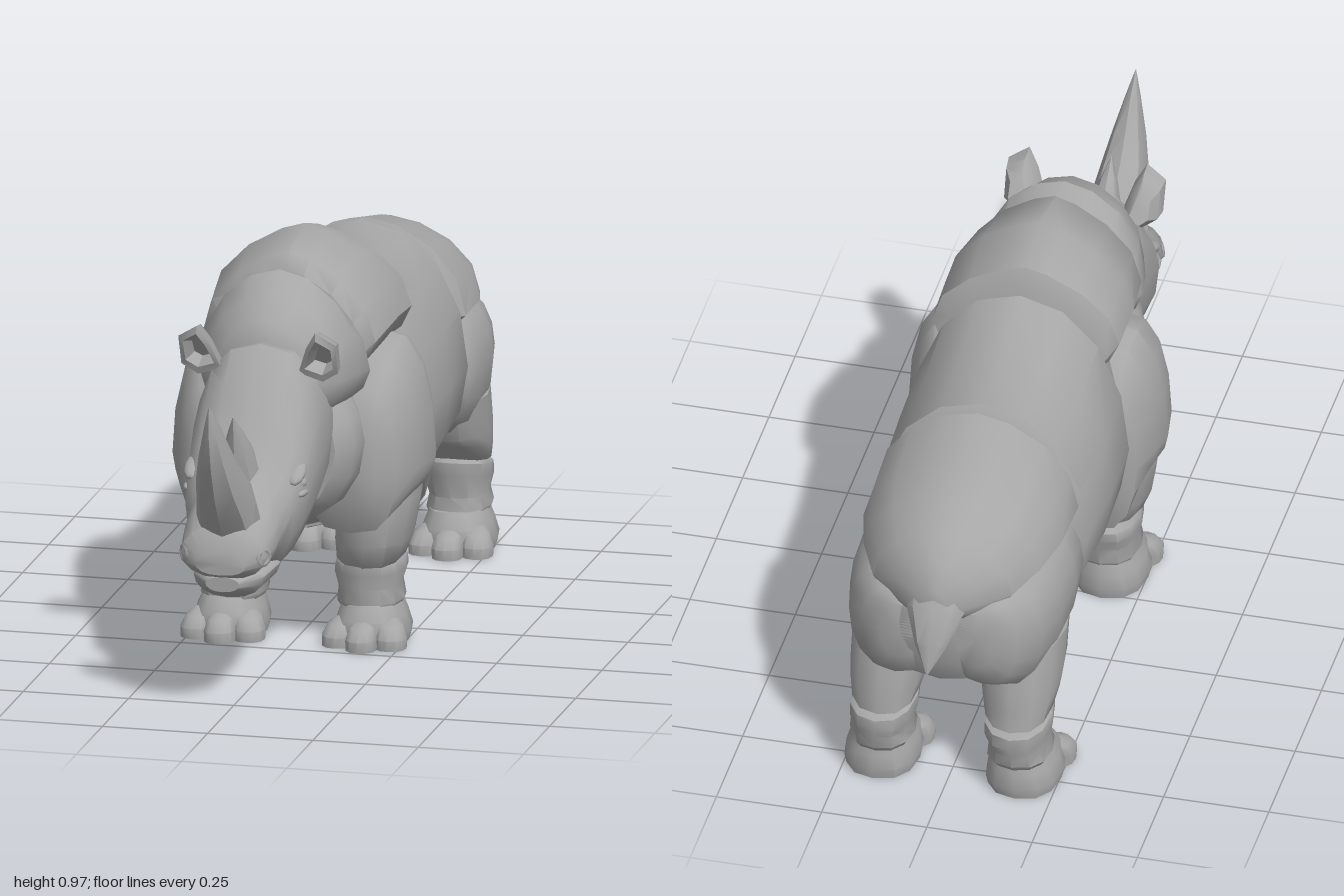
import * as THREE from 'three';
import { toCreasedNormals } from 'three/addons/utils/BufferGeometryUtils.js';

const hide = new THREE.MeshStandardMaterial({ color: 0xa6a6a6 });
hide.name = 'grey hide';

// Closed skin over a list of rings with equal point counts, always facing outward
function loft(rings) {
  const n = rings[0].length, pos = [], idx = [];
  rings.forEach(r => r.forEach(p => pos.push(p.x, p.y, p.z)));
  for (let i = 0; i < rings.length - 1; i++) for (let j = 0; j < n; j++) {
    const a = i * n + j, b = i * n + (j + 1) % n;
    idx.push(a, a + n, b + n, a, b + n, b);
  }
  [0, rings.length - 1].forEach((ri, end) => {
    const c = rings[ri].reduce((s, p) => s.add(p), new THREE.Vector3()).divideScalar(n);
    const k = pos.length / 3;
    pos.push(c.x, c.y, c.z);
    for (let j = 0; j < n; j++) {
      const a = ri * n + j, b = ri * n + (j + 1) % n;
      if (end) idx.push(k, b, a); else idx.push(k, a, b);
    }
  });
  const v = i => new THREE.Vector3().fromArray(pos, i * 3);
  let volume = 0;
  for (let i = 0; i < idx.length; i += 3) volume += v(idx[i]).dot(v(idx[i + 1]).cross(v(idx[i + 2])));
  if (volume < 0) idx.reverse();
  const g = new THREE.BufferGeometry();
  g.setAttribute('position', new THREE.Float32BufferAttribute(pos, 3));
  g.setIndex(idx);
  return toCreasedNormals(g, 0.75);
}

// Upright cross-section: z, top, bottom, half width, height of widest point, centre x
function slice([z, top, bot, w, mid, cx = 0], s = 1, e = 0.85, n = 16) {
  return Array.from({ length: n }, (_, j) => {
    const a = j / n * Math.PI * 2, sn = Math.sin(a), c = Math.cos(a);
    const x = cx + w * Math.sign(sn) * Math.abs(sn) ** e;
    return new THREE.Vector3(s * x, mid + c * (c > 0 ? top - mid : mid - bot), z);
  });
}

// Level cross-section: y, centre x, centre z, half width, half depth, forward tilt
function disc([y, cx, cz, rx, rz, tilt = 0], s = 1, n = 12) {
  return Array.from({ length: n }, (_, j) => {
    const a = j / n * Math.PI * 2, sn = Math.sin(a), c = Math.cos(a);
    const sq = v => Math.sign(v) * Math.abs(v) ** 0.85;
    return new THREE.Vector3(s * (cx + rx * sq(sn)), y + tilt * c, cz + rz * sq(c));
  });
}

// Horn or tail along a path in the middle plane: y, z, half width, half thickness
function taper(pts, n = 8) {
  return loft(pts.map(([y, z, rx, rt], i) => {
    const p = pts[Math.max(i - 1, 0)], q = pts[Math.min(i + 1, pts.length - 1)];
    const l = Math.hypot(q[0] - p[0], q[1] - p[1]), ty = (q[0] - p[0]) / l, tz = (q[1] - p[1]) / l;
    return Array.from({ length: n }, (_, j) => {
      const a = j / n * Math.PI * 2, c = Math.cos(a) * rt;
      return new THREE.Vector3(Math.sin(a) * rx, y - tz * c, z + ty * c);
    });
  }));
}

export function createModel() {
  const model = new THREE.Group();
  model.name = 'rhinoceros';
  const add = (name, geo) => {
    const m = new THREE.Mesh(geo, hide);
    m.name = name;
    model.add(m);
    return m;
  };
  const body = (name, secs, e) => add(name, loft(secs.map(r => slice(r, 1, e))));
  const flank = (name, s, secs, e) => add(name, loft(secs.map(r => slice(r, s, e))));
  const limb = (name, s, secs) => add(name, loft(secs.map(r => disc(r, s))));
  const ball = (name, x, y, z, rx, ry, rz) => {
    const m = add(name, new THREE.SphereGeometry(1, 10, 8));
    m.position.set(x, y, z);
    m.scale.set(rx, ry, rz);
    return m;
  };

  // Trunk: armour-like folds from tail to neck
  body('rumpCore', [
    [-0.905, 0.6, 0.4, 0.09, 0.5], [-0.87, 0.67, 0.33, 0.15, 0.5],
    [-0.7, 0.74, 0.29, 0.2, 0.5], [-0.46, 0.77, 0.25, 0.22, 0.5]]);
  body('rumpPlate', [
    [-0.94, 0.625, 0.54, 0.035, 0.575], [-0.905, 0.68, 0.52, 0.095, 0.575], [-0.85, 0.73, 0.53, 0.165, 0.58],
    [-0.76, 0.768, 0.55, 0.21, 0.6], [-0.66, 0.797, 0.56, 0.235, 0.61], [-0.51, 0.832, 0.56, 0.238, 0.61],
    [-0.485, 0.79, 0.56, 0.215, 0.61]], 1.2);
  body('barrel', [
    [-0.51, 0.78, 0.25, 0.22, 0.5], [-0.475, 0.835, 0.215, 0.252, 0.5], [-0.28, 0.832, 0.187, 0.262, 0.5],
    [-0.11, 0.89, 0.22, 0.258, 0.5], [-0.075, 0.86, 0.225, 0.24, 0.5], [0.1, 0.83, 0.25, 0.2, 0.52]], 0.97);
  body('chest', [
    [0.04, 0.75, 0.235, 0.18, 0.5], [0.2, 0.75, 0.29, 0.19, 0.52],
    [0.3, 0.72, 0.33, 0.17, 0.52], [0.38, 0.7, 0.36, 0.13, 0.54]], 1);
  body('shoulderHump', [
    [-0.085, 0.88, 0.64, 0.2, 0.73], [-0.06, 0.935, 0.62, 0.222, 0.755], [0.07, 0.972, 0.64, 0.224, 0.765],
    [0.22, 0.945, 0.62, 0.205, 0.74], [0.25, 0.91, 0.62, 0.18, 0.72]], 1.5);
  body('neckRoll', [
    [0.21, 0.85, 0.58, 0.18, 0.68], [0.25, 0.875, 0.57, 0.2, 0.68], [0.31, 0.925, 0.56, 0.192, 0.69],
    [0.39, 0.885, 0.57, 0.168, 0.69], [0.445, 0.84, 0.59, 0.125, 0.69], [0.47, 0.8, 0.62, 0.07, 0.7]], 1.1);
  body('throatFold', [
    [0.24, 0.7, 0.36, 0.18, 0.52], [0.29, 0.7, 0.325, 0.197, 0.52],
    [0.345, 0.68, 0.325, 0.185, 0.52], [0.385, 0.66, 0.36, 0.15, 0.52]]);
  add('tail', taper([[0.62, -0.87, 0.07, 0.04], [0.56, -0.92, 0.068, 0.04],
    [0.49, -0.965, 0.038, 0.026], [0.43, -1, 0.002, 0.002]]));

  // Head with sloping brow, separate lower jaw and two horns
  body('head', [
    [0.34, 0.78, 0.37, 0.14, 0.58], [0.49, 0.795, 0.325, 0.155, 0.56], [0.56, 0.725, 0.305, 0.152, 0.53],
    [0.63, 0.625, 0.29, 0.145, 0.49], [0.69, 0.555, 0.285, 0.13, 0.46], [0.735, 0.525, 0.32, 0.112, 0.42],
    [0.79, 0.49, 0.332, 0.112, 0.4], [0.85, 0.455, 0.33, 0.1, 0.385], [0.88, 0.4, 0.345, 0.06, 0.37]], 0.8);
  body('lowerJaw', [
    [0.62, 0.37, 0.31, 0.09, 0.34], [0.71, 0.36, 0.278, 0.098, 0.335],
    [0.8, 0.348, 0.272, 0.083, 0.325], [0.86, 0.335, 0.3, 0.04, 0.32]], 0.85);
  add('frontHorn', taper([[0.43, 0.78, 0.08, 0.065], [0.51, 0.825, 0.07, 0.075], [0.575, 0.887, 0.056, 0.06],
    [0.64, 0.927, 0.04, 0.048], [0.715, 0.962, 0.019, 0.031], [0.775, 0.988, 0.001, 0.001]]));
  add('rearHorn', taper([[0.52, 0.675, 0.05, 0.06], [0.59, 0.705, 0.036, 0.043],
    [0.64, 0.732, 0.021, 0.023], [0.69, 0.757, 0.001, 0.001]]));

  // Cupped ear outline, repeated at several depths and sizes
  const earOutline = [[0.092, 0.735], [0.115, 0.8], [0.14, 0.842], [0.187, 0.812], [0.186, 0.74], [0.148, 0.715]];
  const earRing = (s, k, z) => earOutline.map(([x, y]) =>
    new THREE.Vector3(s * (0.146 + (x - 0.146) * k), 0.775 + (y - 0.775) * k, z + (y - 0.775) * 0.35));

  for (const s of [1, -1]) {
    const side = s > 0 ? 'left' : 'right';
    add(side + 'Ear', loft([earRing(s, 0.5, 0.445), earRing(s, 0.9, 0.475), earRing(s, 1, 0.515),
      earRing(s, 0.72, 0.52), earRing(s, 0.45, 0.475)]));

    // Face details
    ball(side + 'Eye', s * 0.132, 0.51, 0.63, 0.012, 0.013, 0.018);
    ball(side + 'Brow', s * 0.122, 0.535, 0.64, 0.022, 0.014, 0.045).rotation.x = 0.45;
    ball(side + 'EyeBag', s * 0.133, 0.488, 0.63, 0.014, 0.01, 0.04);
    const nostril = add(side + 'Nostril', new THREE.TorusGeometry(0.017, 0.008, 6, 10));
    nostril.position.set(s * 0.092, 0.385, 0.842);
    nostril.rotation.y = s;

    // Large side plates over shoulder and thigh
    flank(side + 'ShoulderPlate', s, [
      [-0.11, 0.58, 0.32, 0.08, 0.43, 0.16], [-0.085, 0.66, 0.24, 0.12, 0.43, 0.15], [0, 0.72, 0.325, 0.145, 0.43, 0.15],
      [0.06, 0.737, 0.34, 0.158, 0.43, 0.15], [0.16, 0.7, 0.325, 0.142, 0.43, 0.15], [0.24, 0.635, 0.285, 0.11, 0.43, 0.15],
      [0.275, 0.56, 0.36, 0.07, 0.44, 0.15]], 0.62);
    flank(side + 'ThighPlate', s, [
      [-0.905, 0.55, 0.4, 0.045, 0.47, 0.09], [-0.88, 0.575, 0.34, 0.08, 0.46, 0.105], [-0.82, 0.595, 0.3, 0.11, 0.46, 0.12],
      [-0.72, 0.61, 0.28, 0.122, 0.46, 0.13], [-0.6, 0.615, 0.28, 0.126, 0.46, 0.13], [-0.51, 0.6, 0.33, 0.12, 0.46, 0.13],
      [-0.475, 0.54, 0.38, 0.09, 0.46, 0.13]], 0.78);

    // Front leg: flared sleeve over a collared shin
    limb(side + 'FrontUpperLeg', s, [
      [0.42, 0.175, 0.08, 0.1, 0.12], [0.345, 0.178, 0.08, 0.1, 0.12], [0.32, 0.178, 0.085, 0.096, 0.118],
      [0.25, 0.172, 0.088, 0.09, 0.115, -0.01], [0.205, 0.163, 0.08, 0.08, 0.1, -0.02], [0.18, 0.16, 0.075, 0.06, 0.075, -0.01]]);
    limb(side + 'FrontLowerLeg', s, [
      [0.215, 0.16, 0.075, 0.055, 0.075], [0.188, 0.16, 0.075, 0.08, 0.105], [0.165, 0.16, 0.075, 0.083, 0.105],
      [0.13, 0.16, 0.08, 0.073, 0.092], [0.095, 0.162, 0.082, 0.078, 0.095], [0.075, 0.163, 0.085, 0.064, 0.085]]);

    // Hind leg, sloping back to the hock
    limb(side + 'HindUpperLeg', s, [
      [0.38, 0.15, -0.67, 0.1, 0.14], [0.29, 0.155, -0.695, 0.094, 0.138], [0.25, 0.157, -0.715, 0.088, 0.125, 0.02],
      [0.21, 0.158, -0.745, 0.078, 0.1, 0.025], [0.185, 0.16, -0.75, 0.055, 0.07, 0.02]]);
    limb(side + 'HindLowerLeg', s, [
      [0.22, 0.16, -0.75, 0.055, 0.075, 0.02], [0.195, 0.16, -0.755, 0.078, 0.105, 0.02], [0.165, 0.16, -0.757, 0.078, 0.105, 0.02],
      [0.125, 0.162, -0.762, 0.068, 0.092], [0.095, 0.163, -0.758, 0.076, 0.095], [0.075, 0.164, -0.75, 0.065, 0.085]]);

    // Feet, each with three rounded toes
    for (const [name, z] of [['Front', 0.085], ['Hind', -0.74]]) {
      limb(side + name + 'Foot', s, [
        [0, 0.168, z + 0.01, 0.085, 0.11], [0.025, 0.168, z + 0.01, 0.09, 0.115],
        [0.06, 0.167, z + 0.01, 0.08, 0.11], [0.095, 0.165, z, 0.066, 0.092]]);
      [-1, 0, 1].forEach(t => {
        const x = 0.168 + t * 0.063, tz = z + 0.12 - Math.abs(t) * 0.03;
        limb(side + name + 'Toe', s, [
          [0, x, tz, 0.036, 0.042], [0.025, x, tz, 0.037, 0.044],
          [0.05, x - t * 0.005, tz - 0.012, 0.03, 0.037], [0.066, x - t * 0.01, tz - 0.03, 0.014, 0.02]]);
      });
    }
  }
  return model;
}
